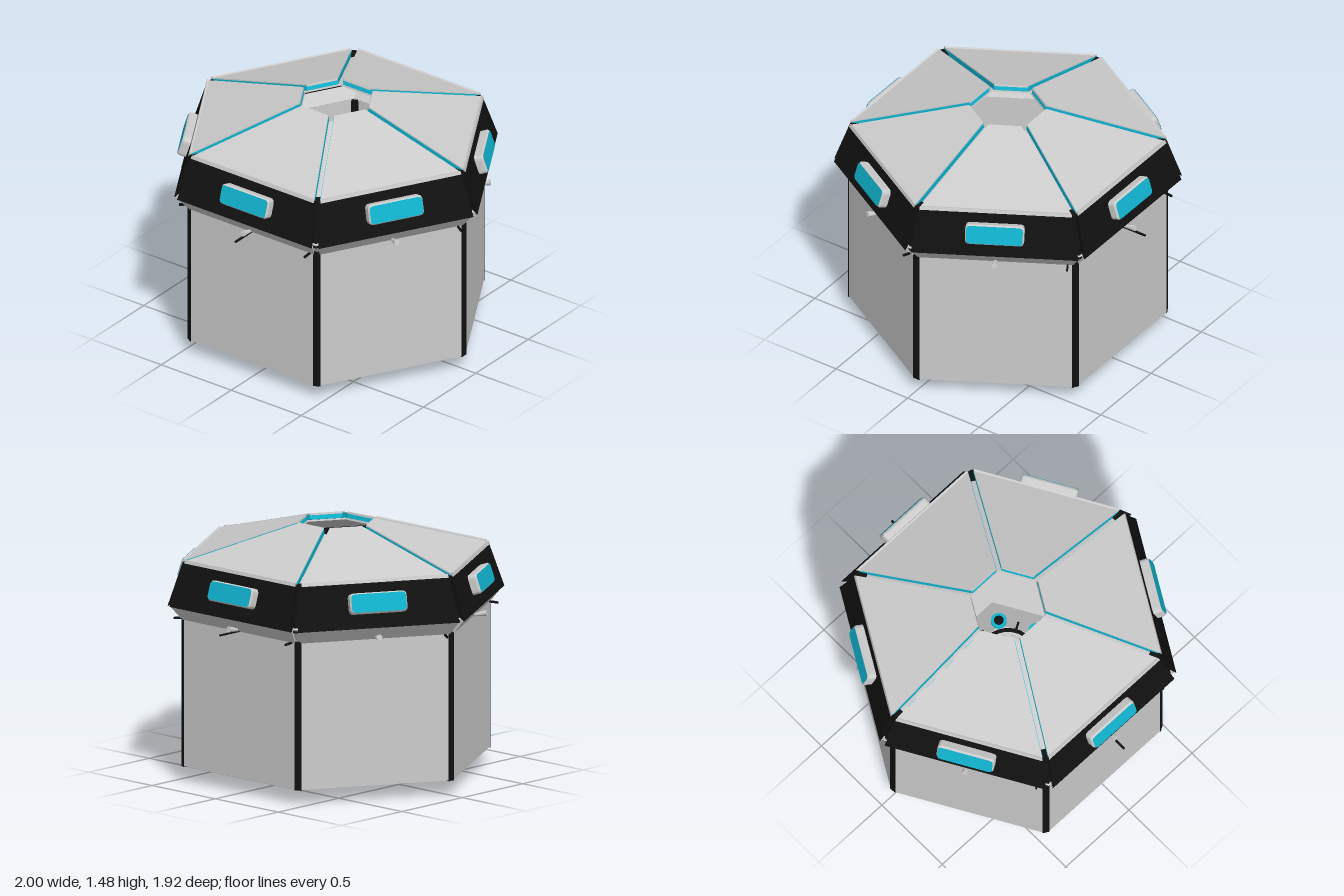
import * as THREE from 'three';

const mat = (color) => new THREE.MeshStandardMaterial({ color, side: THREE.DoubleSide, flatShading: true });
const grey = mat(0xcccccc), black = mat(0x111111), cyan = mat(0x10b4d0);
const TAN = Math.tan(Math.PI / 6);

function add(parent, name, geometry, material, x = 0, y = 0, z = 0) {
  const mesh = new THREE.Mesh(geometry, material);
  mesh.name = name;
  mesh.position.set(x, y, z);
  parent.add(mesh);
  return mesh;
}

// Slab on one side of the hexagon, from apothem a0 at y0 up to a1 at y1.
// "gap" trims each end, "sink" pushes the slab inward along its normal.
function panel(a0, y0, a1, y1, thick, gap, sink = 0) {
  const len = Math.hypot(a1 - a0, y1 - y0);
  const na = (y1 - y0) / len, ny = -(a1 - a0) / len;
  const row = (a, y, d) => {
    const r = a - na * d, w = r * TAN - gap;
    return [[-w, y - ny * d, r], [w, y - ny * d, r]];
  };
  const [A, B] = row(a0, y0, sink), [D, C] = row(a1, y1, sink);
  const [a, b] = row(a0, y0, sink + thick), [d, c] = row(a1, y1, sink + thick);
  const quads = [[A, B, C, D], [b, a, d, c], [B, b, c, C], [a, A, D, d], [D, C, c, d], [a, b, B, A]];
  const pos = quads.flatMap(([p, q, r, s]) => [p, q, r, p, r, s]).flat();
  const g = new THREE.BufferGeometry();
  g.setAttribute('position', new THREE.Float32BufferAttribute(pos, 3));
  g.computeVertexNormals();
  return g;
}

function roundedRect(w, h, r) {
  const s = new THREE.Shape();
  s.moveTo(-w + r, -h);
  s.lineTo(w - r, -h); s.quadraticCurveTo(w, -h, w, -h + r);
  s.lineTo(w, h - r); s.quadraticCurveTo(w, h, w - r, h);
  s.lineTo(-w + r, h); s.quadraticCurveTo(-w, h, -w, h - r);
  s.lineTo(-w, -h + r); s.quadraticCurveTo(-w, -h, -w + r, -h);
  return s;
}

function buildSide(i) {
  const side = new THREE.Group();
  side.name = 'side';
  add(side, 'wall', panel(0.8, 0.09, 0.8, 0.97, 0.015, 0.022), grey);

  // Flared skirt and dark band, each with a lining closing the corner gap
  add(side, 'skirt', panel(0.805, 0.95, 0.867, 1.03, 0.02, 0.02), grey);
  add(side, 'skirtLining', panel(0.805, 0.95, 0.867, 1.03, 0.01, 0, 0.02), grey);
  add(side, 'band', panel(0.874, 1.03, 0.796, 1.28, 0.03, 0.022), black);
  add(side, 'bandLining', panel(0.874, 1.03, 0.796, 1.28, 0.01, 0, 0.028), black);
  add(side, 'roofRim', panel(0.8, 1.28, 0.793, 1.3, 0.03, 0.022), grey);

  // Roof slab with coloured edges and a grey channel floor
  add(side, 'roofPanel', panel(0.785, 1.295, 0.2, 1.475, 0.012, 0.02), grey);
  add(side, 'roofEdge', panel(0.782, 1.293, 0.204, 1.471, 0.03, 0.017, 0.004), cyan);
  add(side, 'roofLining', panel(0.782, 1.293, 0.204, 1.471, 0.01, 0, 0.035), grey);

  // Tilted window box
  const win = new THREE.Group();
  win.name = 'window';
  win.position.set(0, 1.165, 0.828);
  win.rotation.x = -Math.atan(0.078 / 0.25);
  add(win, 'windowFrame', new THREE.ExtrudeGeometry(roundedRect(0.17, 0.06, 0.028),
    { depth: 0.045, bevelEnabled: true, bevelThickness: 0.01, bevelSize: 0.008, bevelOffset: -0.008, bevelSegments: 1, curveSegments: 4 }), grey);
  add(win, 'windowPane', new THREE.ShapeGeometry(roundedRect(0.163, 0.053, 0.024), 5), cyan, 0, 0, 0.057);
  side.add(win);

  // Lamp nozzle and small bracket below the skirt
  const lamp = add(side, 'lamp', new THREE.CylinderGeometry(0.018, 0.009, 0.075, 10), grey, 0, 0.968, 0.852);
  lamp.rotation.x = Math.PI / 2 - 0.2;
  const bracket = add(side, 'bracket', new THREE.BoxGeometry(0.01, 0.012, 0.06), black, 0.415, 0.946, 0.825);
  bracket.rotation.x = 0.1;
  if (i % 3 === 0) add(side, 'rod', new THREE.BoxGeometry(0.012, 0.008, 0.16), black, 0, 0.952, 0.882);

  side.rotation.y = i * Math.PI / 3;
  return side;
}

function buildCorner(i) {
  const corner = new THREE.Group();
  corner.name = 'corner';
  add(corner, 'cornerPost', new THREE.BoxGeometry(0.024, 0.87, 0.042), black, 0.904, 0.521, 0);
  add(corner, 'bandCap', new THREE.BoxGeometry(0.06, 0.025, 0.036), black, 0.873, 1.272, 0);
  corner.rotation.y = i * Math.PI / 3;
  return corner;
}

// Console inside, under the roof opening
function buildConsole() {
  const console6 = new THREE.Group();
  console6.name = 'console';
  const hex = (top, bottom, h) => new THREE.CylinderGeometry(top, bottom, h, 6, 1, false, Math.PI / 2);
  add(console6, 'pedestal', hex(0.14, 0.2, 0.3), grey, 0, 0.33, 0);
  add(console6, 'desk', hex(0.2, 0.38, 0.1), grey, 0, 0.53, 0);
  const flat = (name, r, t, m, y) => {
    add(console6, name, new THREE.TorusGeometry(r, t, 6, 32), m, 0, y, 0).rotation.x = Math.PI / 2;
  };
  flat('outerRing', 0.157, 0.012, black, 0.6);
  flat('middleRing', 0.12, 0.008, grey, 0.59);
  flat('innerRing', 0.09, 0.006, black, 0.59);
  const dome = grey.clone();
  dome.flatShading = false;
  add(console6, 'dome', new THREE.SphereGeometry(0.072, 24, 16), dome, 0, 0.62, 0);
  for (let i = 0; i < 6; i++) {
    const t = i * Math.PI / 3, c = Math.cos(t), s = Math.sin(t);
    add(console6, 'dial', new THREE.CylinderGeometry(0.045, 0.045, 0.02, 20), cyan, 0.222 * c, 0.59, 0.222 * s);
    add(console6, 'dialCentre', new THREE.CylinderGeometry(0.028, 0.028, 0.024, 16), black, 0.222 * c, 0.591, 0.222 * s);
    const spoke = add(console6, 'spoke', new THREE.BoxGeometry(0.012, 0.012, 0.06), black, 0.185 * s, 0.595, 0.185 * c);
    spoke.rotation.y = t;
  }
  return console6;
}

export function createModel() {
  const model = new THREE.Group();
  model.name = 'hexagonalPavilion';
  for (let i = 0; i < 6; i++) model.add(buildSide(i), buildCorner(i));

  add(model, 'floor', new THREE.RingGeometry(0.1, 0.915, 6, 1), grey, 0, 0.09, 0).rotation.x = Math.PI / 2;
  model.add(buildConsole());

  // Cables hanging through the floor opening
  const cables = [[-0.07, 0.02], [-0.022, 0.06], [-0.005, -0.06], [0.015, 0.03], [0.045, -0.055], [0.065, 0.01]];
  for (const [x, z] of cables)
    add(model, 'cable', new THREE.CylinderGeometry(0.015, 0.015, 0.24, 10), black, x, 0.12, z);
  return model;
}
